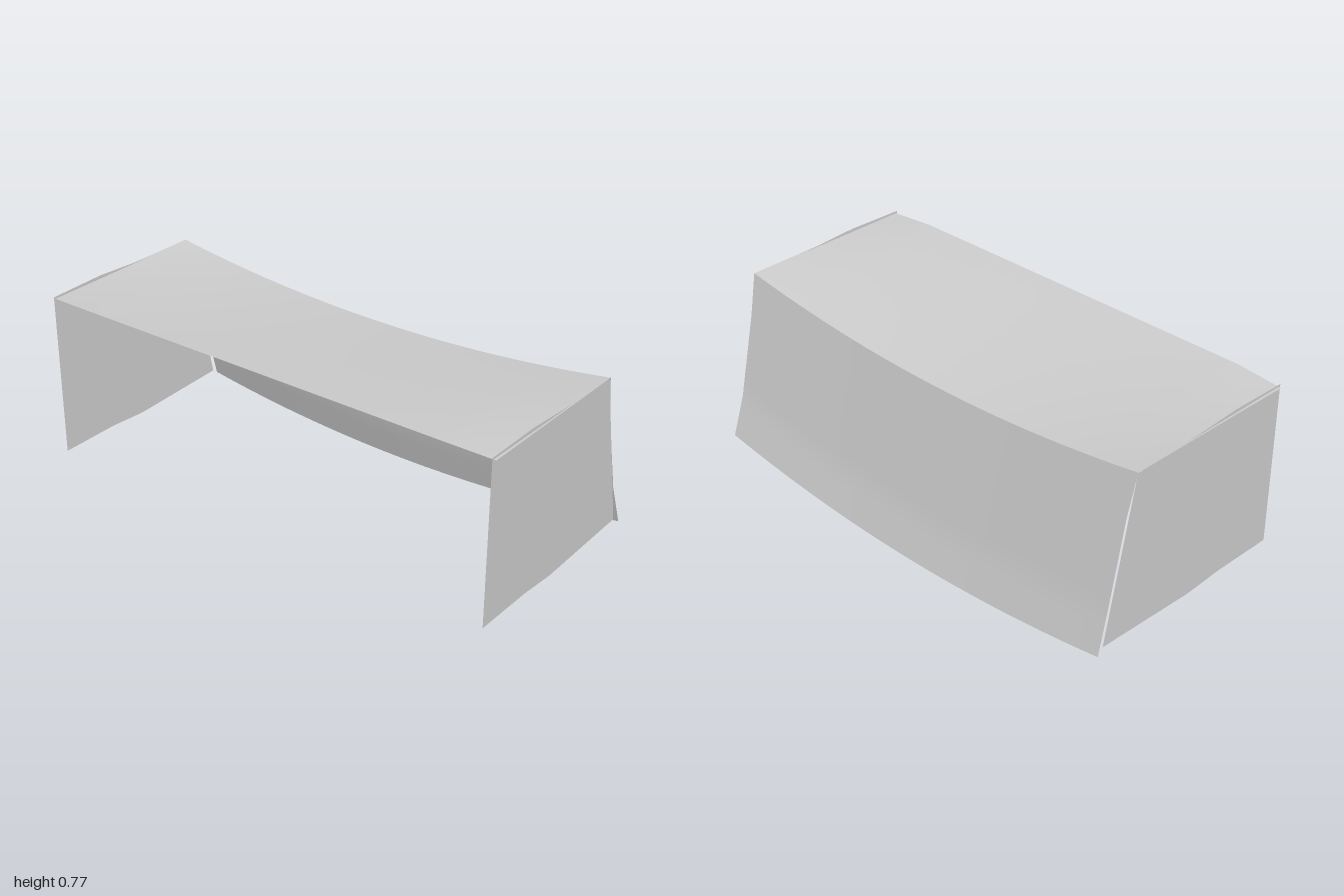
import * as THREE from 'three';

const material = new THREE.MeshStandardMaterial({ color: 0xcccccc, side: THREE.DoubleSide });

// Sheet made from a plane whose vertices follow rule(u, v) -> [x, y, z], u and v in 0..1
function sheet(name, nu, nv, rule) {
  const geo = new THREE.PlaneGeometry(1, 1, nu, nv);
  const pos = geo.attributes.position;
  for (let i = 0; i < pos.count; i++) {
    pos.setXYZ(i, ...rule(pos.getX(i) + 0.5, pos.getY(i) + 0.5));
  }
  geo.computeVertexNormals();
  const mesh = new THREE.Mesh(geo, material);
  mesh.name = name;
  return mesh;
}

// Piecewise-linear profile through [t, value] pairs
function profile(points, t) {
  for (let i = 1; i < points.length; i++) {
    const [a, va] = points[i - 1], [b, vb] = points[i];
    if (t <= b) return THREE.MathUtils.lerp(va, vb, (t - a) / (b - a));
  }
  return points[points.length - 1][1];
}

const lerp = THREE.MathUtils.lerp;

// Bend of the sheets towards the middle: 0 at the ends, 0.08 in the centre
const sag = (s) => 0.08 * (1 - s * s);

export function createModel() {
  const model = new THREE.Group();

  // Top: nearly flat at the front edge, sagging along the back edge
  model.add(sheet('topPanel', 40, 12, (u, v) => {
    const s = u * 2 - 1;
    const corner = Math.max(0, (Math.abs(s) - 0.8) / 0.2);
    const frontY = 0.775 - 0.008 * corner;
    const backY = 0.756 - sag(s);
    return [s * lerp(1, 0.993, v), lerp(frontY, backY, v), lerp(0.455 - 0.013 * corner, -0.3, v)];
  }));

  // Back: leans outwards to the bottom and follows the same sag
  const backZ = [[0, -0.46], [0.25, -0.41], [1, -0.3]];
  const backHalfWidth = [[0, 0.99], [0.25, 0.983], [0.75, 0.983], [1, 0.993]];
  model.add(sheet('backPanel', 40, 12, (u, v) => {
    const s = u * 2 - 1;
    return [s * profile(backHalfWidth, v), lerp(0.082, 0.756, v) - sag(s), profile(backZ, v)];
  }));

  // Sides: upright, slanted at the back, with slightly uneven top and bottom edges
  const topEdge = [[0, 0.776], [0.333, 0.777], [0.6, 0.763], [0.8, 0.755], [1, 0.752]];
  const bottomEdge = [[0, 0.107], [0.3, 0.105], [0.49, 0.092], [0.65, 0.096], [1, 0.104]];
  for (const side of [1, -1]) {
    model.add(sheet(side > 0 ? 'leftPanel' : 'rightPanel', 30, 8, (u, v) => {
      const t = side > 0 ? u : 1 - u;
      const y = lerp(profile(bottomEdge, t), profile(topEdge, t), v);
      return [side * lerp(0.984, 0.99, v), y, lerp(0.45, lerp(-0.43, -0.298, v), t)];
    }));
  }
  return model;
}
